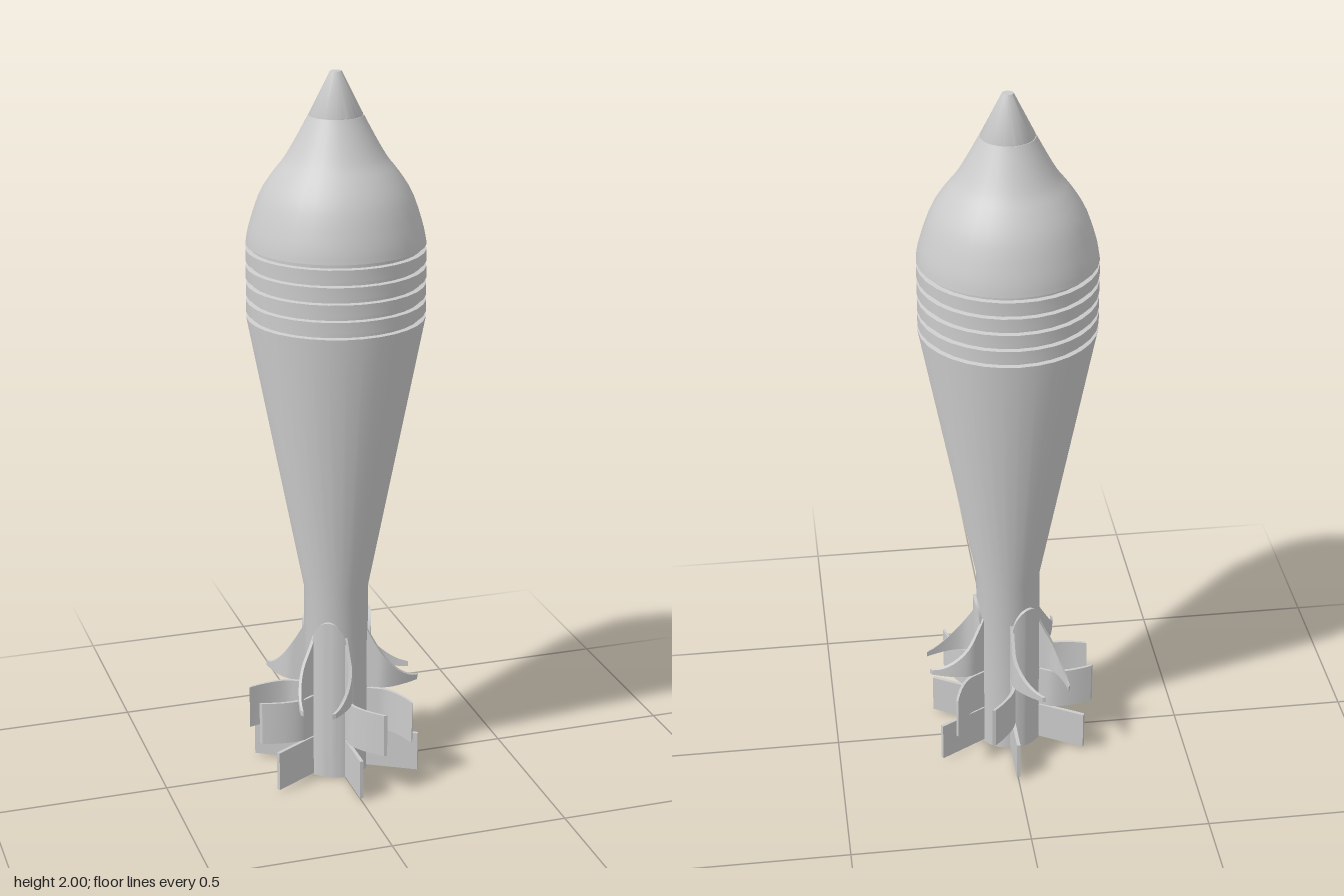
import * as THREE from 'three';
import { toCreasedNormals } from 'three/addons/utils/BufferGeometryUtils.js';

const material = new THREE.MeshStandardMaterial({ color: 0xcccccc });

function addMesh(parent, name, geometry) {
  const mesh = new THREE.Mesh(toCreasedNormals(geometry, 0.5), material);
  mesh.name = name;
  parent.add(mesh);
  return mesh;
}

function lathe(points, segments) {
  return new THREE.LatheGeometry(points.map(([r, y]) => new THREE.Vector2(r, y)), segments);
}

// Thin sheet: a subdivided box whose unit coordinates (u, v, w in 0..1) are moved by a rule.
function sheet(su, sv, sw, rule) {
  const geometry = new THREE.BoxGeometry(1, 1, 1, su, sv, sw);
  const p = geometry.attributes.position;
  for (let i = 0; i < p.count; i++) {
    p.setXYZ(i, ...rule(p.getX(i) + 0.5, p.getY(i) + 0.5, p.getZ(i) + 0.5));
  }
  geometry.computeVertexNormals();
  return geometry;
}

const T = 0.01; // sheet thickness

// Radial fin tab whose outer part curls sideways by `bend`.
function finTab(outer, bottom, top, bend) {
  const inner = 0.085, straight = 0.13;
  return sheet(12, 1, 1, (u, v, w) => {
    const r = inner + (outer - inner) * u;
    const k = Math.max(0, (r - straight) / (outer - straight));
    return [r, bottom + (top(u) - bottom) * v, bend * k ** 1.6 + (w - 0.5) * T];
  });
}

export function createModel() {
  const model = new THREE.Group();
  model.name = 'mortarShell';

  // Body: hollow tail tube, tapered casing, grooved band and ogive
  const R = 0.241;
  const body = [[0, 0.3], [0.06, 0.3], [0.06, 0], [0.09, 0], [0.09, 0.56], [R, 1.343]];
  for (let i = 0; i < 5; i++) {
    const y = 1.351 + i * 0.0465;
    body.push([R, y - 0.007], [R - 0.013, y - 0.005], [R - 0.013, y + 0.005], [R, y + 0.007]);
  }
  const ogive = new THREE.SplineCurve([
    [R, 1.545], [0.232, 1.59], [0.203, 1.675], [0.165, 1.735], [0.136, 1.772], [0.105, 1.825], [0.073, 1.885],
  ].map(([r, y]) => new THREE.Vector2(r, y)));
  ogive.getPoints(16).slice(1).forEach((p) => body.push([p.x, p.y]));
  body.push([0.07, 1.885]);
  addMesh(model, 'body', lathe(body, 32));

  // Fuze cone at the nose
  addMesh(model, 'noseCone', lathe([[0, 1.882], [0.071, 1.882], [0.071, 1.888], [0.015, 2], [0, 2]], 64));

  // Three fin brackets, each a curved channel with a pair of fins cut into three tabs
  for (let b = 0; b < 3; b++) {
    const bracket = new THREE.Group();
    bracket.name = 'finBracket';
    bracket.rotation.y = -b * Math.PI * 2 / 3;
    model.add(bracket);

    // Channel hugging the tube, with a rounded top
    addMesh(bracket, 'channel', sheet(1, 1, 20, (u, v, w) => {
      const s = -Math.cos(w * Math.PI);
      const a = s * Math.PI / 6;
      const r = 0.088 + 0.011 * u;
      const top = 0.4 + 0.08 * Math.sqrt(Math.max(0, 1 - s * s));
      return [r * Math.cos(a), 0.005 + (top - 0.005) * v, r * Math.sin(a)];
    }));

    for (const side of [-1, 1]) {
      const fin = new THREE.Group();
      fin.name = 'fin';
      fin.rotation.y = -side * Math.PI / 6;
      bracket.add(fin);
      addMesh(fin, 'sweptTab', finTab(0.22, 0.255, (u) => 0.27 + 0.17 * (1 - u) ** 1.5, -side * 0.075));
      addMesh(fin, 'middleTab', finTab(0.234, 0.126, () => 0.25, side * 0.07));
      addMesh(fin, 'lowerTab', finTab(0.238, 0.008, () => 0.122, 0));
    }
  }
  return model;
}
